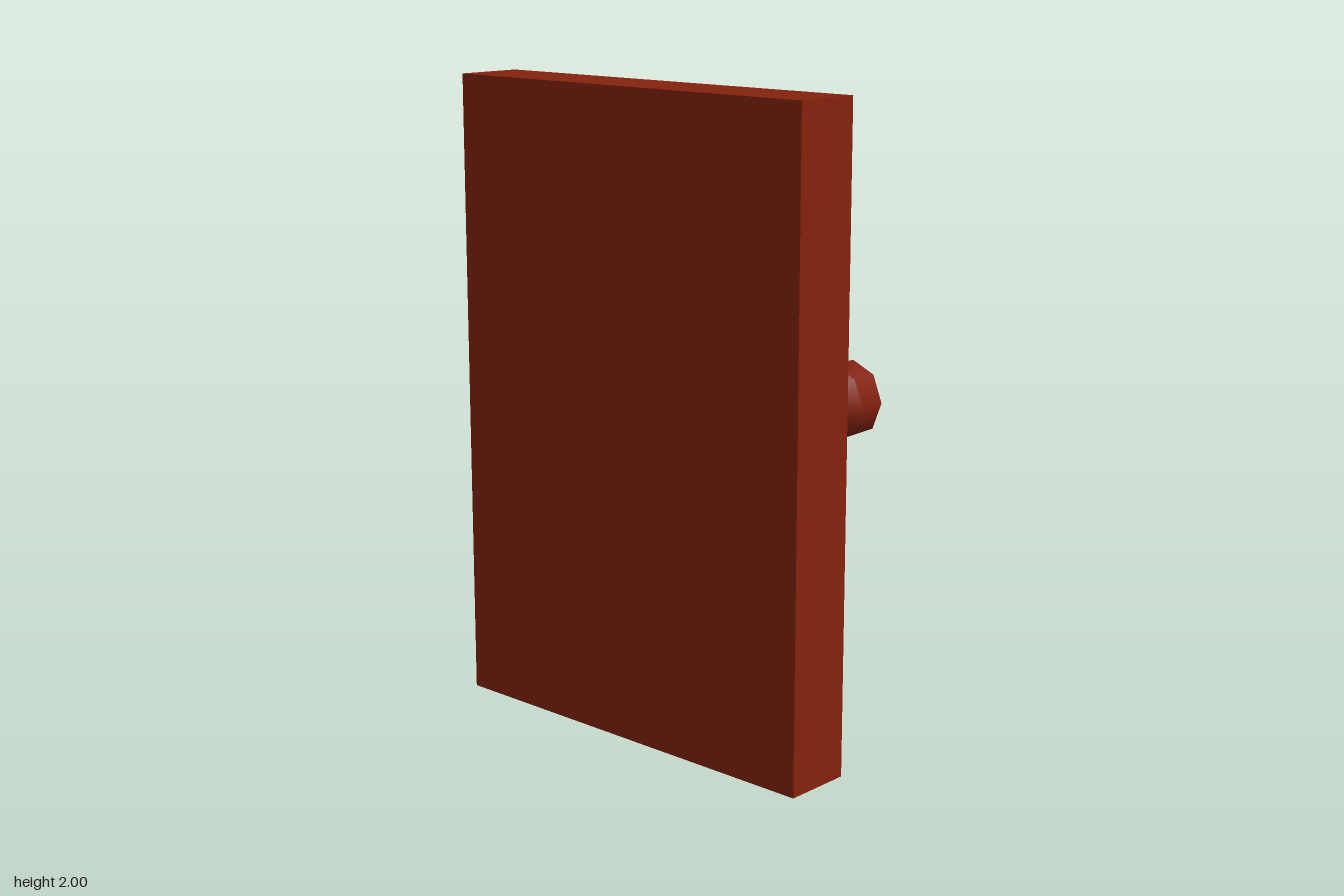
import * as THREE from 'three';

export function createModel() {
  const model = new THREE.Group();
  const material = new THREE.MeshStandardMaterial({ color: 0x84220e });

  // Flat slab
  const panel = new THREE.Mesh(new THREE.BoxGeometry(1.36, 2, 0.22), material);
  panel.name = 'panel';
  panel.position.set(0, 1, 0.163);
  model.add(panel);

  // Knob on the back: eight-sided, slightly narrower than tall, turned about z
  const knob = new THREE.Group();
  knob.name = 'knob';
  knob.position.set(0.463, 1.064, 0.053);
  model.add(knob);

  // Each section is a separate lathe so its edges stay crisp;
  // profile points are [radius, distance out from the panel]
  const addSection = (name, squeeze, profile) => {
    const points = profile.map(([r, d]) => new THREE.Vector2(r, d));
    const geometry = new THREE.LatheGeometry(points, 8);
    geometry.rotateX(-Math.PI / 2);
    geometry.scale(squeeze, 1, 1);
    const mesh = new THREE.Mesh(geometry, material);
    mesh.name = name;
    knob.add(mesh);
  };

  addSection('knobShaft', 0.91, [[0.085, -0.01], [0.085, 0.162]]);
  addSection('knobFlare', 0.94, [[0.083, 0.16], [0.117, 0.207]]);
  addSection('knobHead', 0.94, [[0.117, 0.207], [0.117, 0.297]]);
  addSection('knobRim', 0.94, [[0.117, 0.297], [0.092, 0.303]]);
  addSection('knobCap', 0.94, [[0.092, 0.303], [0, 0.326]]);

  return model;
}
